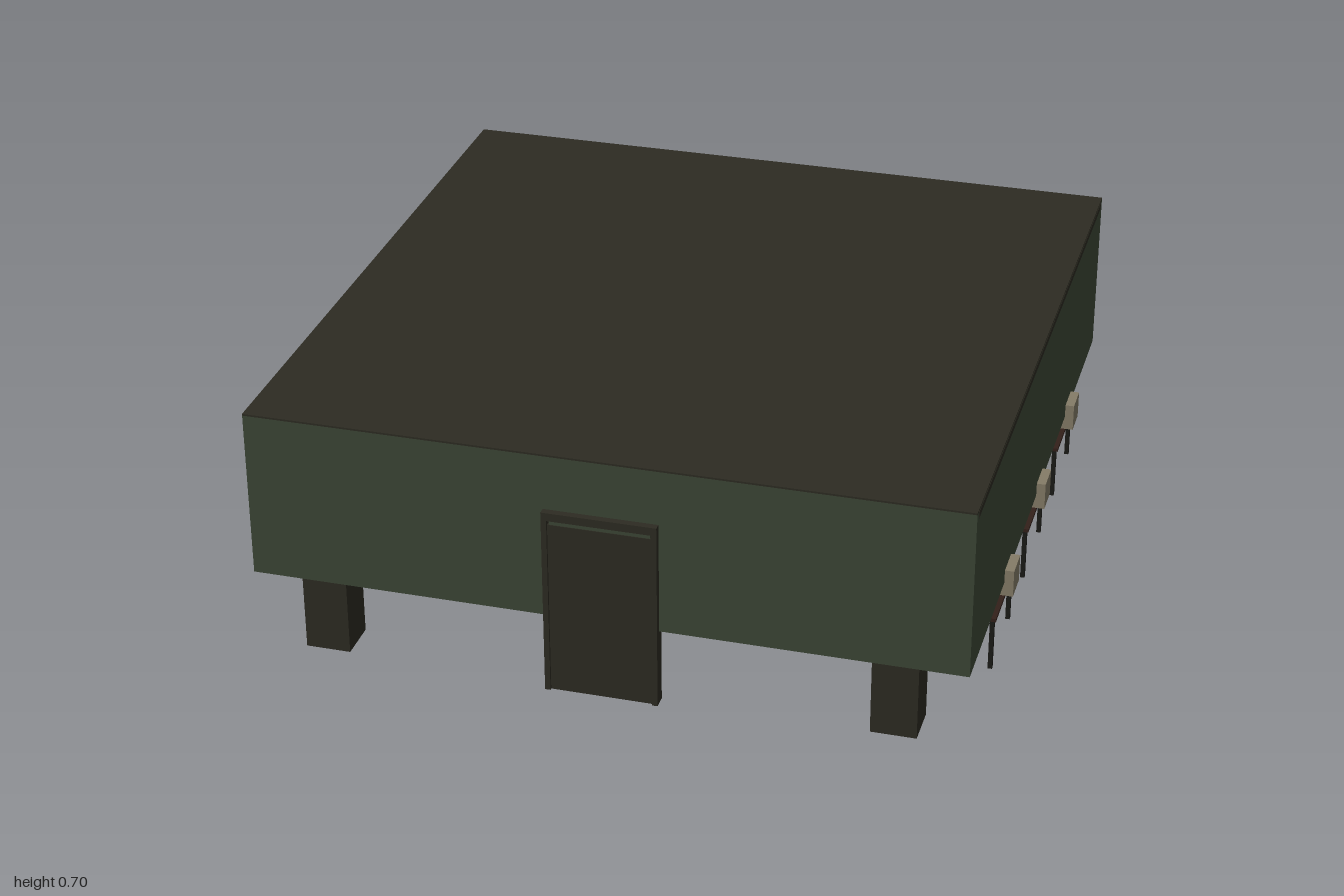
import * as THREE from 'three';

const mat = (name, color) => {
  const m = new THREE.MeshStandardMaterial({ color });
  m.name = name;
  return m;
};

export function createModel() {
  const green = mat('wall green', 0x3c4736);
  const dark = mat('dark wood', 0x2d2b22);
  const black = mat('leg black', 0x1b1b17);
  const brown = mat('desk brown', 0x33201a);
  const beige = mat('monitor beige', 0x857c68);
  const gold = mat('lamp gold', 0xc49c54);
  const navy = mat('rug navy', 0x1b2c48);
  const maroon = mat('rug maroon', 0x40181c);
  const grey = mat('rug grey', 0x77807c);

  const root = new THREE.Group();
  root.name = 'room';
  const group = (name, parent = root) => {
    const g = new THREE.Group();
    g.name = name;
    parent.add(g);
    return g;
  };
  const add = (parent, name, geo, m, x, y, z) => {
    const mesh = new THREE.Mesh(geo, m);
    mesh.name = name;
    mesh.position.set(x, y, z);
    parent.add(mesh);
    return mesh;
  };
  // box given by its limits on each axis
  const box = (parent, name, m, x0, x1, y0, y1, z0, z1) =>
    add(parent, name, new THREE.BoxGeometry(x1 - x0, y1 - y0, z1 - z0), m,
      (x0 + x1) / 2, (y0 + y1) / 2, (z0 + z1) / 2);

  // shell: four hanging walls and a ceiling
  const shell = group('shell');
  box(shell, 'frontWall', green, -0.975, 0.975, 0.22, 0.695, 0.955, 0.965);
  box(shell, 'backWall', green, -0.975, 0.975, 0.22, 0.695, -0.985, -0.975);
  for (const s of [-1, 1]) {
    const xs = [s * 0.965, s * 0.975].sort((a, b) => a - b);
    box(shell, 'sideWall', green, ...xs, 0.22, 0.695, -0.975, 0.955);
  }
  box(shell, 'ceiling', dark, -0.975, 0.975, 0.695, 0.7, -0.985, 0.965);
  box(shell, 'ceilingSlab', dark, -0.965, 0.976, 0.675, 0.694, -0.96, 0.945);

  // door set through the front wall
  const door = group('door');
  box(door, 'doorPanel', dark, -0.14, 0.14, 0, 0.502, 0.948, 0.978);
  for (const s of [-1, 1]) {
    const xs = [s * 0.14, s * 0.155].sort((a, b) => a - b);
    box(door, 'doorJamb', dark, ...xs, 0, 0.54, 0.945, 0.985);
  }
  box(door, 'doorLintel', dark, -0.14, 0.14, 0.517, 0.54, 0.945, 0.985);
  box(door, 'lintelGap', green, -0.135, 0.135, 0.502, 0.517, 0.948, 0.976);
  add(door, 'doorKnob', new THREE.SphereGeometry(0.01, 12, 8), gold, -0.11, 0.25, 0.938);

  // tall cabinets along the back wall
  for (let i = 0; i < 4; i++) {
    const g = group('backCabinet'), x = -0.765 + i * 0.392;
    box(g, 'cabinetBody', dark, x, x + 0.372, 0, 0.48, -0.986, -0.9);
    for (const k of [0, 1]) {
      const a = x + 0.008 + k * 0.181;
      box(g, 'cabinetDoor', dark, a, a + 0.175, 0.015, 0.465, -0.9, -0.895);
    }
  }

  // filing cabinets in the front corners
  for (const s of [-1, 1]) {
    const g = group('filingCabinet');
    g.position.x = s * 0.78;
    box(g, 'body', dark, -0.062, 0.062, 0, 0.34, 0.835, 0.952);
    for (let k = 0; k < 3; k++) {
      const y = 0.01 + k * 0.11;
      box(g, 'drawer', dark, -0.055, 0.055, y, y + 0.1, 0.83, 0.836);
      box(g, 'drawerHandle', black, -0.02, 0.02, y + 0.065, y + 0.072, 0.827, 0.831);
    }
  }

  // four straight legs under a top
  const legs = (g, x0, x1, z0, z1, y0, y1, r) => {
    for (const x of [x0 + r, x1 - r]) for (const z of [z0 + r, z1 - r])
      box(g, 'leg', black, x - r, x + r, y0, y1, z - r, z + r);
  };

  // desks with computer monitors, three on each side, facing inward
  for (const s of [0, 1]) for (const z of [0.455, -0.03, -0.51]) {
    const g = group('computerDesk');
    g.rotation.y = s * Math.PI;
    g.position.z = z;
    const c = s ? -0.008 : -0.012;
    const m = (s ? -1 : 1) * c;
    box(g, 'deskTop', brown, 0.78, 0.975, 0.16, 0.17, -0.14, 0.14);
    legs(g, 0.785, 0.97, -0.135, 0.135, 0.01, 0.16, 0.006);
    box(g, 'monitorBody', beige, 0.85, 0.958, 0.175, 0.295, m - 0.065, m + 0.065);
    box(g, 'monitorBack', beige, 0.958, 1.0, 0.18, 0.258, m - 0.045, m + 0.045);
    box(g, 'monitorFoot', beige, 0.87, 0.95, 0.17, 0.176, m - 0.05, m + 0.05);
    box(g, 'screen', black, 0.847, 0.851, 0.195, 0.28, m - 0.05, m + 0.05);
    box(g, 'keyboard', beige, 0.793, 0.83, 0.17, 0.177, m - 0.06, m + 0.06);
  }

  // long table in the middle with a small lamp
  const table = group('centreTable');
  box(table, 'tableTop', brown, -0.17, 0.17, 0.162, 0.172, -0.3, 0.245);
  box(table, 'tableRunner', black, -0.09, 0.09, 0.172, 0.177, -0.2, 0.19);
  legs(table, -0.165, 0.165, -0.3, 0.245, 0, 0.162, 0.006);
  add(table, 'lampBase', new THREE.CylinderGeometry(0.017, 0.017, 0.008, 16), black, 0, 0.18, -0.22);
  add(table, 'lampPost', new THREE.CylinderGeometry(0.004, 0.004, 0.07, 8), black, 0, 0.215, -0.22);
  add(table, 'lampShade', new THREE.CylinderGeometry(0.015, 0.03, 0.03, 16), gold, 0, 0.26, -0.22);

  // rug, patterned on both faces
  const rug = group('rug');
  box(rug, 'rugBorder', navy, -0.31, 0.31, 0.002, 0.006, -0.435, 0.43);
  box(rug, 'rugField', maroon, -0.25, 0.25, 0.001, 0.007, -0.365, 0.36);
  const disc = (name, r, h, m, x, z) =>
    add(rug, name, new THREE.CylinderGeometry(r, r, h, 4), m, x, 0.004, z);
  disc('rugMedallion', 0.12, 0.007, navy, 0, 0);
  disc('rugCentre', 0.035, 0.008, grey, 0, 0);
  for (const x of [-0.28, 0.28]) for (const z of [-0.4, 0.395])
    disc('rugCorner', 0.018, 0.006, grey, x, z);

  // hanging ceiling lamps
  const dome = new THREE.LatheGeometry([[0, 0], [0.035, 0.004], [0.055, 0.02], [0.06, 0.04], [0.045, 0.05], [0, 0.054]]
    .map(([x, y]) => new THREE.Vector2(x, y)), 20);
  for (const x of [-0.51, 0.51]) for (const z of [-0.35, 0.24]) {
    const g = group('ceilingLamp');
    add(g, 'lampBowl', dome, gold, x, 0.58, z);
    add(g, 'lampRod', new THREE.CylinderGeometry(0.006, 0.006, 0.05, 8), black, x, 0.655, z);
  }
  return root;
}
